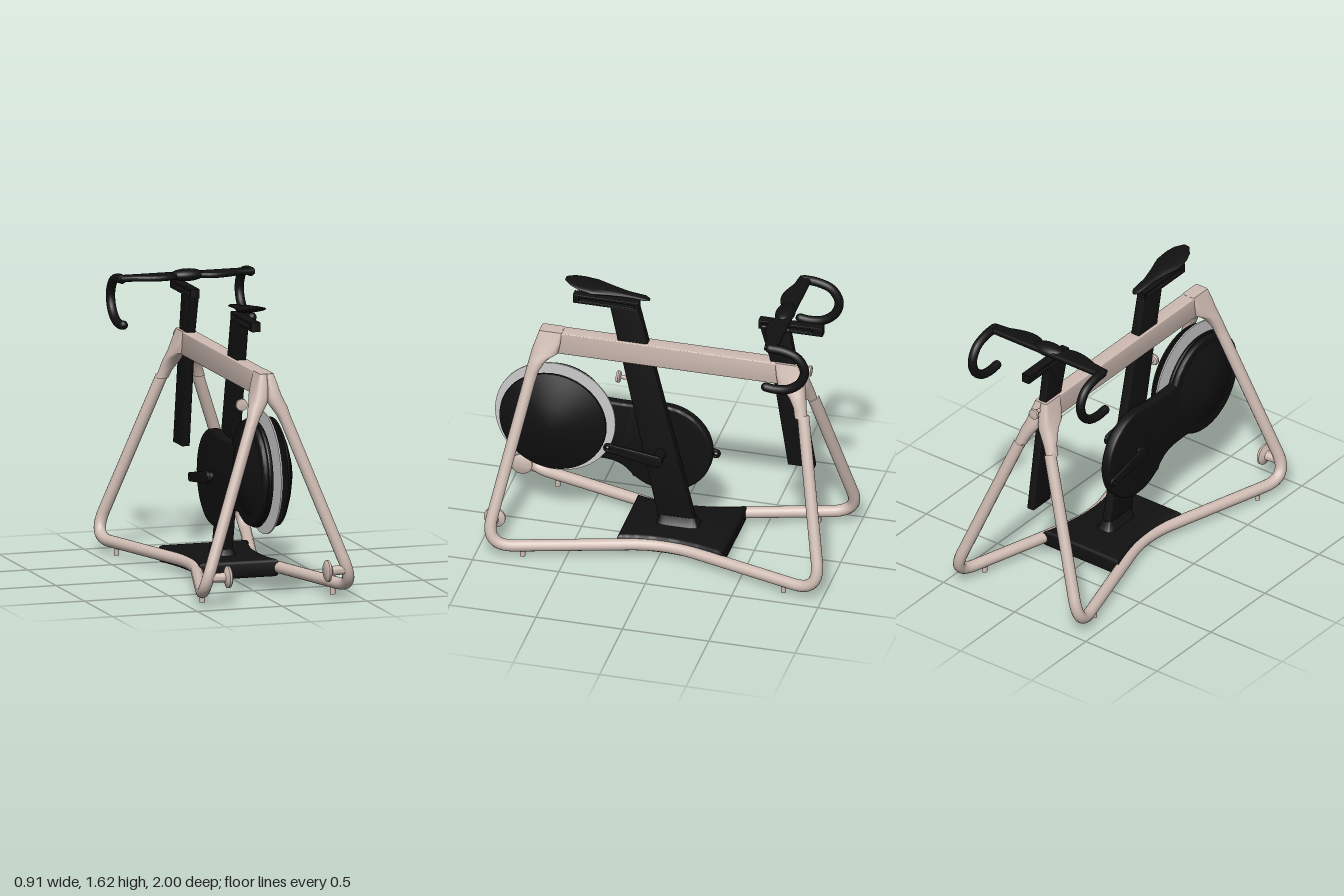
import * as THREE from 'three';
import { toCreasedNormals } from 'three/addons/utils/BufferGeometryUtils.js';

const V = (x, y, z) => new THREE.Vector3(x, y, z);
const paint = (color) => new THREE.MeshStandardMaterial({ color });
const frameMat = paint(0xcfbcb3), blackMat = paint(0x111111), steelMat = paint(0xcccccc);

export function createModel() {
  const model = new THREE.Group();
  const add = (name, geometry, material) => {
    const mesh = new THREE.Mesh(geometry, material);
    mesh.name = name;
    model.add(mesh);
    return mesh;
  };

  // Skin over superellipse rings; sections are [cx, cy, cz, halfX, halfOther, exponent], rising along the axis
  const loft = (axis, sections, n = 28) => {
    const pos = [], index = [];
    const pow = (c, e) => Math.sign(c) * Math.abs(c) ** (2 / e);
    for (const [cx, cy, cz, a, b, e = 2] of sections) {
      for (let j = 0; j < n; j++) {
        const t = (j / n) * Math.PI * 2;
        const u = a * pow(Math.cos(t), e), v = b * pow(Math.sin(t), e);
        pos.push(cx + u, cy + (axis === 'z' ? v : 0), cz - (axis === 'y' ? v : 0));
      }
    }
    const last = sections.length - 1, c0 = pos.length / 3;
    pos.push(...sections[0].slice(0, 3), ...sections[last].slice(0, 3));
    for (let j = 0; j < n; j++) {
      const k = (j + 1) % n;
      for (let i = 0; i < last; i++) {
        const a = i * n + j, b = i * n + k;
        index.push(a, b, b + n, a, b + n, a + n);
      }
      index.push(c0, k, j, c0 + 1, last * n + j, last * n + k);
    }
    const g = new THREE.BufferGeometry();
    g.setAttribute('position', new THREE.Float32BufferAttribute(pos, 3));
    g.setIndex(index);
    return toCreasedNormals(g, 0.7);
  };

  const polygon = (pts) => new THREE.Shape(pts.map(([a, b]) => new THREE.Vector2(a, b)));
  const extrude = (shape, depth, bevel) => new THREE.ExtrudeGeometry(shape, {
    depth: depth - 2 * bevel, bevelEnabled: bevel > 0, bevelSize: bevel, bevelThickness: bevel,
    bevelOffset: -bevel, bevelSegments: 3, curveSegments: 32,
  }).translate(0, 0, bevel);
  // Side outline in (z, y), spanning x0 to x1
  const sidePart = (shape, x0, x1, bevel = 0.006) =>
    toCreasedNormals(extrude(shape, x1 - x0, bevel).rotateY(-Math.PI / 2).translate(x1, 0, 0), 0.6);
  // Plan outline in (x, -z), rising from y0
  const planPart = (shape, y0, height, bevel) =>
    toCreasedNormals(extrude(shape, height, bevel).rotateX(-Math.PI / 2).translate(0, y0, 0), 0.6);

  // Straight runs joined by rounded corners; cuts are the lengths trimmed at each corner
  const roundedPath = (pts, cuts) => {
    const path = new THREE.CurvePath();
    let from = pts[0];
    for (let i = 1; i < pts.length - 1; i++) {
      const toward = (p) => pts[i].clone().add(p.clone().sub(pts[i]).setLength(cuts[i - 1]));
      const a = toward(pts[i - 1]), b = toward(pts[i + 1]);
      path.add(new THREE.LineCurve3(from, a));
      path.add(new THREE.QuadraticBezierCurve3(a, pts[i], b));
      from = b;
    }
    path.add(new THREE.LineCurve3(from, pts[pts.length - 1]));
    return path;
  };

  // Top beam
  add('topBeam', sidePart(polygon([[0.73, 1.275], [0.66, 1.14], [-0.68, 1.14], [-0.75, 1.275]]), -0.042, 0.042, 0.008), frameMat);

  for (const s of [1, -1]) {
    // Legs and floor rail of one side, bent from a single tube
    const rail = roundedPath([
      V(s * 0.105, 1.0, 0.77), V(s * 0.449, 0.07, 0.946), V(s * 0.17, 0.07, -0.03),
      V(s * 0.449, 0.07, -0.996), V(s * 0.105, 1.0, -0.81),
    ], [0.17, 0.2, 0.17]);
    add('sideFrame', new THREE.TubeGeometry(rail, 220, 0.034, 16), frameMat);

    // Joints blending each leg into the beam
    for (const [f, shift] of [[1, 0], [-1, 0.025]]) {
      const rows = [[0.99, 0.108, 0.772, 0.036, 0.036, 2], [1.04, 0.088, 0.762, 0.038, 0.037, 2.1],
        [1.09, 0.065, 0.742, 0.048, 0.047, 2.3], [1.12, 0.049, 0.725, 0.05, 0.058, 2.6],
        [1.15, 0.04, 0.7, 0.046, 0.077, 3], [1.21, 0.03, 0.685, 0.034, 0.073, 5], [1.276, 0.02, 0.67, 0.021, 0.066, 8]];
      add('legJoint', loft('y', rows.map(([y, x, z, a, b, e]) => [s * x, y, f * (z + shift), a, b, e])), frameMat);
    }

    // Levelling feet
    for (const z of [0.74, -0.77]) {
      add('foot', new THREE.CylinderGeometry(0.015, 0.015, 0.06, 16), frameMat).position.set(s * 0.385, 0.03, z);
    }

    // Transport wheel
    const wheel = [[0, 0], [0.05, 0], [0.062, 0.008], [0.062, 0.02], [0.045, 0.028], [0.028, 0.036], [0.024, 0.11], [0, 0.11]];
    const roll = add('transportWheel', toCreasedNormals(new THREE.LatheGeometry(wheel.map(([r, h]) => new THREE.Vector2(r, h)), 32), 0.6), frameMat);
    roll.rotation.z = -s * Math.PI / 2;
    roll.position.set(s * 0.28, 0.17, 0.925);
  }

  // Base plate with waisted sides
  const base = new THREE.Shape();
  base.moveTo(-0.235, -0.235);
  base.lineTo(0.235, -0.235);
  base.quadraticCurveTo(0.15, 0.05, 0.265, 0.385);
  base.lineTo(-0.265, 0.385);
  base.quadraticCurveTo(-0.15, 0.05, -0.235, -0.235);
  add('basePlate', planPart(base, 0.02, 0.1, 0.02), blackMat);
  add('postFoot', loft('y', [[0, 0.1, -0.065, 0.085, 0.14, 5], [0, 0.125, -0.063, 0.05, 0.118, 5], [0, 0.17, -0.055, 0.031, 0.105, 6]]), blackMat);

  // Seat post and slotted seat slider
  add('seatPost', sidePart(polygon([[0.04, 0.1], [0.33, 1.49], [0.165, 1.49], [-0.17, 0.1]]), -0.028, 0.028), blackMat);
  const slider = (z0, z1, h0, h1) => {
    const shape = polygon([[z0, 1.48], [z1, 1.48], [z1, 1.533], [z0, 1.533]]);
    shape.holes.push(new THREE.Path(polygon([[h0, 1.497], [h0, 1.515], [h1, 1.515], [h1, 1.497]]).getPoints()));
    return sidePart(shape, -0.027, 0.027, 0.004);
  };
  add('seatSlider', slider(0.165, 0.545, 0.19, 0.51), blackMat);

  // Saddle, nose to tail
  add('saddle', loft('z', [[0, 1.553, 0.105, 0.012, 0.005], [0, 1.559, 0.13, 0.027, 0.009], [0, 1.569, 0.24, 0.032, 0.013],
    [0, 1.578, 0.33, 0.052, 0.019], [0, 1.587, 0.42, 0.079, 0.02], [0, 1.601, 0.5, 0.073, 0.014],
    [0, 1.612, 0.55, 0.055, 0.009], [0, 1.621, 0.59, 0.02, 0.004]]), blackMat);

  // Handlebar post and slider
  add('handlebarPost', sidePart(polygon([[-0.535, 1.5], [-0.6, 1.27], [-0.7, 0.61], [-0.853, 0.61], [-0.745, 1.27], [-0.705, 1.5]]), -0.025, 0.025), blackMat);
  add('handlebarSlider', slider(-0.9, -0.53, -0.84, -0.55), blackMat);

  // Winged crossbar with drop grips
  const wing = new THREE.Shape();
  wing.moveTo(-0.395, 0.73);
  wing.lineTo(-0.395, 0.66);
  wing.lineTo(-0.3, 0.65);
  wing.bezierCurveTo(-0.2, 0.61, -0.12, 0.59, -0.05, 0.66);
  wing.lineTo(0.05, 0.66);
  wing.bezierCurveTo(0.12, 0.59, 0.2, 0.61, 0.3, 0.65);
  wing.lineTo(0.395, 0.66);
  wing.lineTo(0.395, 0.73);
  add('crossbar', planPart(wing, 1.572, 0.032, 0.012), blackMat);
  const clamp = add('barClamp', new THREE.SphereGeometry(1, 32, 16), blackMat);
  clamp.scale.set(0.1, 0.035, 0.055);
  clamp.position.set(0, 1.59, -0.68);
  for (const s of [1, -1]) {
    const drop = [[1.585, -0.69], [1.578, -0.77], [1.545, -0.85], [1.47, -0.89], [1.39, -0.868], [1.335, -0.8], [1.322, -0.72], [1.328, -0.665]];
    add('dropGrip', new THREE.TubeGeometry(new THREE.CatmullRomCurve3(drop.map(([y, z]) => V(s * 0.38, y, z))), 48, 0.026, 16), blackMat);
    for (const [y, z] of [drop[0], drop[drop.length - 1]]) {
      add('gripEnd', new THREE.SphereGeometry(0.026, 16, 12), blackMat).position.set(s * 0.38, y, z);
    }
  }

  // Flywheel, axle and domed covers
  const turned = (name, geometry, material, x, y, z, dir = 1) => {
    const mesh = add(name, geometry, material);
    mesh.rotation.z = -dir * Math.PI / 2;
    mesh.position.set(x, y, z);
  };
  turned('flywheel', new THREE.CylinderGeometry(0.348, 0.348, 0.009, 72), steelMat, 0, 0.703, 0.652);
  turned('axle', new THREE.CylinderGeometry(0.04, 0.04, 0.14, 24), blackMat, 0, 0.703, 0.652);
  const dome = [[0, 0], [0.31, 0], [0.308, 0.012], [0.24, 0.043], [0.14, 0.08], [0.07, 0.1], [0, 0.106]];
  for (const s of [1, -1]) {
    turned('flywheelCover', toCreasedNormals(new THREE.LatheGeometry(dome.map(([r, h]) => new THREE.Vector2(r, h)), 64), 0.5), blackMat, s * 0.05, 0.703, 0.652, s);
  }

  // Drive housing from flywheel to crank
  const housing = new THREE.Shape();
  housing.absarc(0.652, 0.703, 0.3, 2.72, -2.13 + Math.PI * 2, true);
  housing.absarc(0.652, 0.703, 0.3, -2.13, -2.13, false);
  housing.bezierCurveTo(0.36, 0.44, 0.3, 0.46, 0.22, 0.37);
  housing.absarc(0.03, 0.567, 0.274, -0.8, 1.3 - Math.PI * 2, true);
  housing.bezierCurveTo(0.18, 0.82, 0.3, 0.82, 0.378, 0.826);
  add('driveHousing', sidePart(housing, -0.092, -0.03, 0.015), blackMat);

  // Cranks
  turned('crankSpindle', new THREE.CylinderGeometry(0.03, 0.03, 0.25, 24), blackMat, 0, 0.572, 0.035);
  for (const s of [1, -1]) {
    const arm = new THREE.Shape();
    arm.absarc(0, 0, 0.036, Math.PI / 2, Math.PI * 1.5, false);
    arm.absarc(0.285, 0, 0.026, -Math.PI / 2, Math.PI / 2, false);
    const hole = new THREE.Path();
    hole.absarc(0.285, 0, 0.011, 0, Math.PI * 2, true);
    arm.holes.push(hole);
    const crank = add('crankArm', sidePart(arm, -0.01, 0.01, 0.004), blackMat);
    crank.rotation.x = -0.17 + (s < 0 ? Math.PI : 0);
    crank.position.set(s * 0.122, 0.572, 0.035);
  }

  // Clamp knobs
  const knob = [[0, 0], [0.012, 0], [0.012, 0.035], [0.03, 0.04], [0.035, 0.048], [0.033, 0.06], [0, 0.066]];
  for (const [y, z, dir, size] of [[1.02, 0.235, 1, 1], [1.23, -0.77, -1, 0.92]]) {
    const mesh = add('clampKnob', toCreasedNormals(new THREE.LatheGeometry(knob.map(([r, h]) => new THREE.Vector2(r * size, h)), 24), 0.6), frameMat);
    mesh.rotation.x = dir * Math.PI / 2;
    mesh.position.set(0, y, z);
  }
  return model;
}
